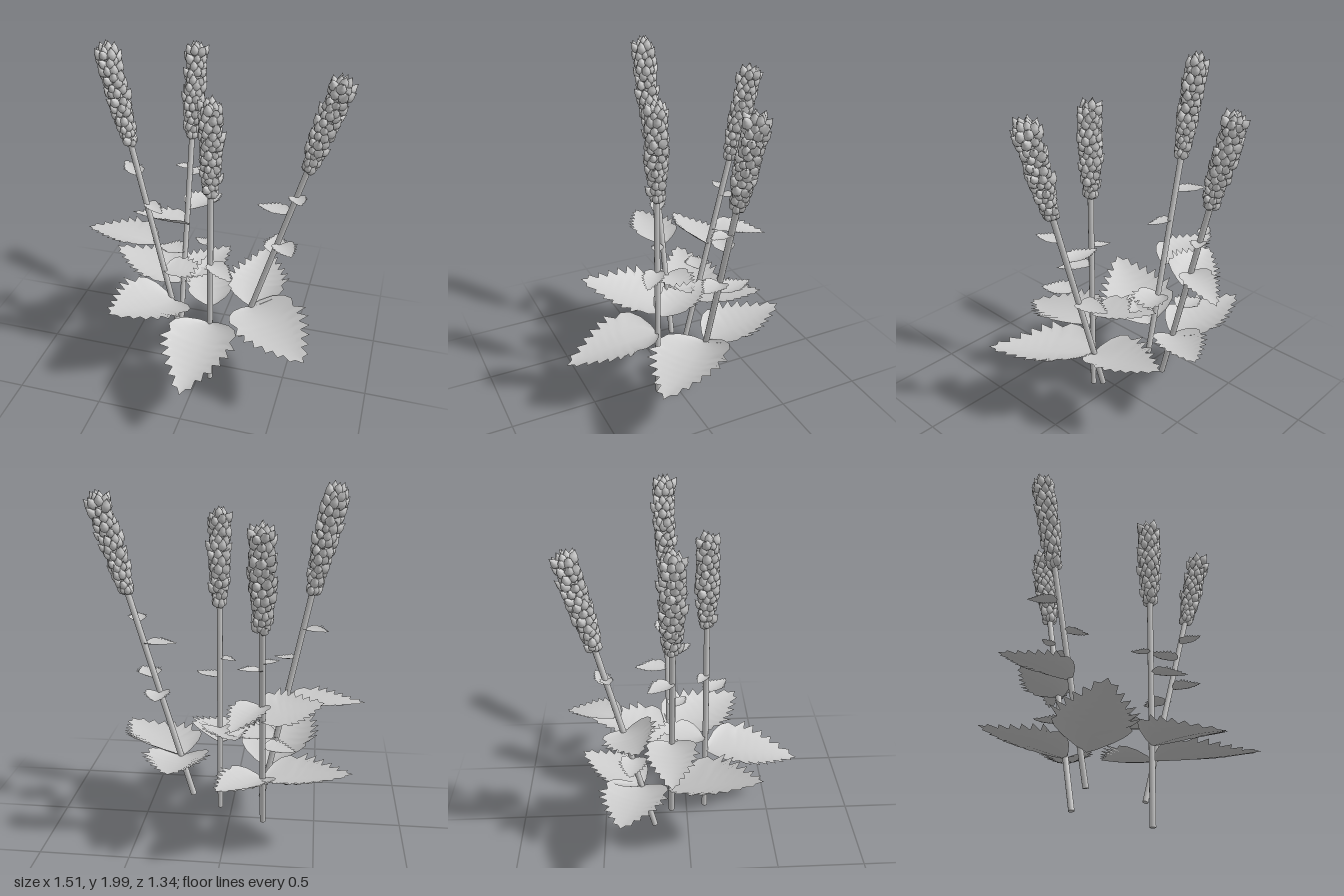
import * as THREE from 'three';
import { mergeGeometries } from 'three/addons/utils/BufferGeometryUtils.js';

const V = (a) => new THREE.Vector3(...a);
const UP = new THREE.Vector3(0, 1, 0);
const grey = new THREE.MeshStandardMaterial({ color: 0xcccccc });
const leafGrey = new THREE.MeshStandardMaterial({ color: 0xcccccc, side: THREE.DoubleSide });

// Toothed leaf blade along +z, cupped at the base and flattening to a pointed tip
function leafGeometry(len, width, arch) {
  const teeth = 6, step = 0.58 / teeth, cols = [-1, -0.82, -0.5, 0, 0.5, 0.82, 1];
  const w = (u) => Math.pow(Math.sin(Math.PI * Math.pow(u, 0.6)), 1.1);
  // rows: [t, half-width factor, how far forward the edge point leans]
  const rows = [[0, 0.05, 0], [0.02, 0.3, 0], [0.08, 0.64, 0], [0.16, 0.88, 0], [0.25, 0.99, 0]];
  for (let i = 0; i < teeth; i++) {
    const t = 0.33 + i * step, u = t + step * 0.4;
    rows.push([t, w(t) * 0.88, 0]);
    rows.push([u, w(u) + 0.19 * (1 - u), 0.075]);
  }
  rows.push([0.93, 0.12, 0], [1, 0.005, 0]);
  const pos = [], idx = [], n = cols.length;
  rows.forEach(([t, half, lean], r) => cols.forEach((s, c) => {
    const a = Math.abs(s), x = (s * half * width) / 2;
    const z = len * (t + (a === 1 ? lean : 0));
    const cup = width * 0.22 * (1 - 0.75 * t) * Math.pow(a, 1.7) * half;
    pos.push(x, cup + arch * len * Math.sin(Math.PI * t), z);
    if (r && c) {
      const i = r * n + c;
      idx.push(i - n - 1, i - 1, i, i - n - 1, i, i - n);
    }
  }));
  const g = new THREE.BufferGeometry();
  g.setAttribute('position', new THREE.Float32BufferAttribute(pos, 3));
  g.setIndex(idx);
  g.computeVertexNormals();
  return g;
}

// Places a leaf from its base on the stem to its tip, rolled about its midrib
function makeLeaf(name, base, tip, width, roll = 0, arch = -0.02) {
  const z = V(tip).sub(V(base));
  const mesh = new THREE.Mesh(leafGeometry(z.length(), width, arch), leafGrey);
  z.normalize();
  const x = new THREE.Vector3().crossVectors(UP, z).normalize();
  const y = new THREE.Vector3().crossVectors(z, x);
  mesh.quaternion.setFromRotationMatrix(new THREE.Matrix4().makeBasis(x, y, z));
  mesh.rotateZ(roll);
  mesh.position.copy(V(base));
  mesh.name = name;
  return mesh;
}

// Plump pointed bud standing on the origin
function budGeometry() {
  const profile = [[0, 0], [0.018, 0.008], [0.026, 0.028], [0.019, 0.048], [0.008, 0.062], [0, 0.078]];
  return new THREE.LatheGeometry(profile.map((p) => new THREE.Vector2(...p)), 7);
}

// Flower spike along +y: staggered rings of buds leaning outward, slimmer at the foot
function spikeGeometry(length, seed) {
  const bud = budGeometry(), parts = [], rings = 13, count = 7, o = new THREE.Object3D();
  let s = seed;
  const rand = () => (s = (s * 16807) % 2147483647) / 2147483647 - 0.5;
  const addBud = (tilt, angle, radius, y, scale) => {
    o.rotation.set(tilt, angle, 0, 'YXZ');
    o.position.set(Math.sin(angle) * radius, y, Math.cos(angle) * radius);
    o.scale.setScalar(scale);
    o.updateMatrix();
    parts.push(bud.clone().applyMatrix4(o.matrix));
  };
  const core = new THREE.CylinderGeometry(0.034, 0.018, length - 0.05, 10);
  parts.push(core.translate(0, (length - 0.05) / 2, 0));
  for (let r = 0; r < rings; r++) {
    const f = r / (rings - 1), swell = Math.min(1, f * 2.5);
    for (let i = 0; i < count; i++) {
      const angle = ((i + (r % 2) / 2) / count) * Math.PI * 2 + rand() * 0.25;
      const y = f * (length - 0.095) + rand() * 0.02;
      addBud(0.5 + rand() * 0.4, angle, 0.012 + 0.018 * swell, y, 0.86 + 0.08 * swell + rand() * 0.3);
    }
  }
  // crown of buds closing the top
  for (let i = 0; i < 4; i++) addBud(0.15, (i / 4) * Math.PI * 2, 0.014, length - 0.078 + rand() * 0.02, 0.95);
  return mergeGeometries(parts);
}

// One plant: stem, flower spike on its upper end, and its leaves
function makePlant(name, foot, top, spikeLength, seed, leaves) {
  const plant = new THREE.Group();
  plant.name = name;
  const axis = V(top).sub(V(foot)), length = axis.length();
  const stalk = new THREE.Group();
  stalk.name = 'stalk';
  stalk.position.copy(V(foot));
  stalk.quaternion.setFromUnitVectors(UP, axis.normalize());
  const stemLength = length - spikeLength + 0.03;
  const stem = new THREE.Mesh(new THREE.CylinderGeometry(0.017, 0.017, stemLength, 10), grey);
  stem.position.y = stemLength / 2;
  stem.name = 'stem';
  const spike = new THREE.Mesh(spikeGeometry(spikeLength, seed), grey);
  spike.position.y = length - spikeLength;
  spike.name = 'flowerSpike';
  stalk.add(stem, spike);
  plant.add(stalk);
  leaves.forEach((l) => plant.add(makeLeaf(...l)));
  return plant;
}

export function createModel() {
  const model = new THREE.Group();
  model.name = 'floweringPlants';
  model.add(
    makePlant('frontPlant', [0.07, 0, 0.115], [0.07, 1.83, 0.115], 0.56, 11, [
      ['largeLeaf', [0.07, 0.425, 0.12], [0.055, 0.36, 0.67], 0.4, 0, 0.025],
      ['mediumLeaf', [0.07, 0.53, 0.1], [-0.06, 0.62, -0.27], 0.26],
      ['smallLeaf', [0.07, 0.84, 0.115], [0.225, 0.835, 0.245], 0.12],
      ['smallLeaf', [0.07, 0.96, 0.115], [-0.03, 0.965, 0.06], 0.07],
    ]),
    makePlant('backPlant', [-0.21, 0.1, -0.2], [-0.212, 1.86, -0.615], 0.57, 23, [
      ['largeLeaf', [-0.21, 0.395, -0.27], [-0.69, 0.51, -0.38], 0.36],
      ['largeLeaf', [-0.21, 0.4, -0.26], [0.01, 0.49, -0.61], 0.29],
      ['mediumLeaf', [-0.19, 0.78, -0.34], [-0.53, 0.86, -0.27], 0.29, 0.3],
      ['mediumLeaf', [-0.2, 0.87, -0.37], [-0.07, 0.84, -0.67], 0.2, 0, 0.03],
      ['mediumLeaf', [-0.21, 0.6, -0.3], [-0.39, 0.6, -0.33], 0.15],
      ['smallLeaf', [-0.21, 1.08, -0.43], [-0.09, 1.11, -0.5], 0.09],
      ['smallLeaf', [-0.21, 1.12, -0.44], [-0.3, 1.14, -0.42], 0.07],
    ]),
    makePlant('leftLeaningPlant', [-0.195, 0.2, -0.1], [-0.567, 1.985, -0.09], 0.59, 37, [
      ['largeLeaf', [-0.21, 0.385, -0.08], [-0.44, 0.585, 0.395], 0.43, -0.1],
      ['mediumLeaf', [-0.31, 0.77, -0.1], [-0.755, 0.81, -0.11], 0.27, 0, 0.01],
      ['mediumLeaf', [-0.28, 0.58, -0.11], [0.02, 0.6, -0.13], 0.21],
      ['smallLeaf', [-0.41, 1.21, -0.1], [-0.54, 1.235, -0.22], 0.11],
      ['smallLeaf', [-0.37, 1.04, -0.1], [-0.25, 1.03, -0.02], 0.09],
    ]),
    makePlant('rightLeaningPlant', [0.2, 0.19, -0.095], [0.7, 1.93, -0.1], 0.57, 51, [
      ['largeLeaf', [0.26, 0.43, -0.09], [0.66, 0.46, 0.355], 0.42, 0.1],
      ['largeLeaf', [0.27, 0.43, -0.09], [0.26, 0.55, -0.57], 0.35],
      ['smallLeaf', [0.39, 0.82, -0.1], [0.37, 0.84, -0.3], 0.14],
      ['smallLeaf', [0.42, 0.9, -0.09], [0.51, 0.92, 0.05], 0.14],
      ['smallLeaf', [0.46, 1.1, -0.1], [0.27, 1.12, -0.13], 0.12],
      ['smallLeaf', [0.49, 1.22, -0.09], [0.54, 1.245, 0.04], 0.1],
    ]),
  );
  return model;
}
